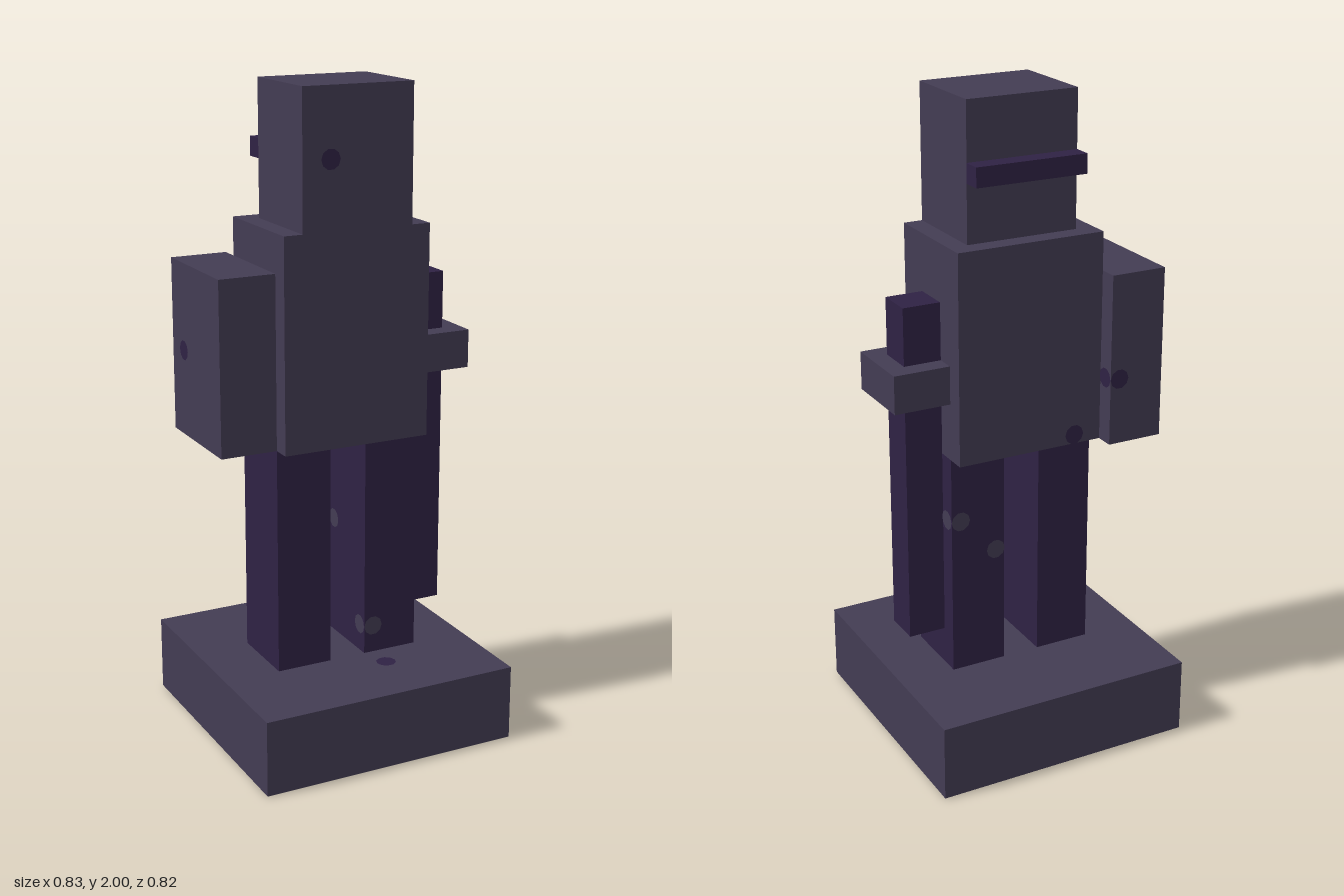
import * as THREE from 'three';

const U = 1 / 17; // grid unit: the figure is 34 units tall

export function createModel() {
  const model = new THREE.Group();
  model.name = 'blockFigure';

  const stone = new THREE.MeshStandardMaterial({ color: 0x433c53 });
  stone.name = 'greyStone';
  const purple = new THREE.MeshStandardMaterial({ color: 0x2f2244 });
  purple.name = 'darkPurple';

  // Box from its minimum and maximum corners in grid units
  const block = (name, material, [x0, y0, z0], [x1, y1, z1]) => {
    const mesh = new THREE.Mesh(
      new THREE.BoxGeometry((x1 - x0) * U, (y1 - y0) * U, (z1 - z0) * U), material);
    mesh.position.set((x0 + x1) / 2, (y0 + y1) / 2, (z0 + z1) / 2).multiplyScalar(U);
    mesh.name = name;
    model.add(mesh);
  };

  // Round painted spot lying just above a face with the given normal
  const spot = (name, material, centre, normal) => {
    const n = new THREE.Vector3(...normal);
    const mesh = new THREE.Mesh(new THREE.CircleGeometry(0.52 * U, 10), material);
    mesh.position.set(...centre).multiplyScalar(U).addScaledVector(n, 0.002);
    mesh.quaternion.setFromUnitVectors(new THREE.Vector3(0, 0, 1), n);
    mesh.name = name;
    model.add(mesh);
  };

  // Plinth and legs
  block('plinth', stone, [-7, 0, -7], [7, 4, 7]);
  block('leftLeg', purple, [1, 4, -2], [4, 16, 2]);
  block('rightLeg', purple, [-4, 4, -2], [-1, 16, 2]);

  // Body and head, with a band across the back of the head
  block('torso', stone, [-4, 16, -3], [4, 27, 3]);
  block('head', stone, [-3, 27, -2], [3, 34, 3]);
  block('headBand', purple, [-3, 30, -3], [3, 31, -2]);

  // Slab on the right side; rod with a cross guard on the left side
  block('sideSlab', stone, [-7, 16, -4], [-4, 25, 2]);
  block('rod', purple, [4, 6, -1], [6, 24, 1]);
  block('rodGuard', stone, [4, 19, -2], [7, 21, 2]);

  // Dark spots on the stone parts
  spot('headSpot', purple, [-1.5, 30.5, 3], [0, 0, 1]);
  spot('plinthTopSpot', purple, [1.5, 4, 3.5], [0, 1, 0]);
  spot('plinthUndersideSpot', purple, [-0.5, 0, -5.5], [0, -1, 0]);
  spot('slabSideSpot', purple, [-7, 20.5, -2.5], [-1, 0, 0]);
  spot('slabBackSpot', purple, [-4.5, 19.5, -4], [0, 0, -1]);
  spot('slabInnerSpot', purple, [-4, 19.5, -3.5], [1, 0, 0]);
  spot('torsoBackSpot', purple, [-2.5, 16.5, -3], [0, 0, -1]);
  spot('torsoUndersideSpot', purple, [-2.5, 16, -2.5], [0, -1, 0]);

  // Grey spots wrapping the edges of the left leg
  spot('legFrontSpot', stone, [1.5, 5.5, 2], [0, 0, 1]);
  spot('legFrontInnerSpot', stone, [1, 5.5, 1.5], [-1, 0, 0]);
  spot('legOuterSpot', stone, [4, 12.5, -1.5], [1, 0, 0]);
  spot('legBackUpperSpot', stone, [3.5, 12.5, -2], [0, 0, -1]);
  spot('legBackLowerSpot', stone, [1.5, 10.5, -2], [0, 0, -1]);
  spot('legBackInnerSpot', stone, [1, 10.5, -1.5], [-1, 0, 0]);

  return model;
}
